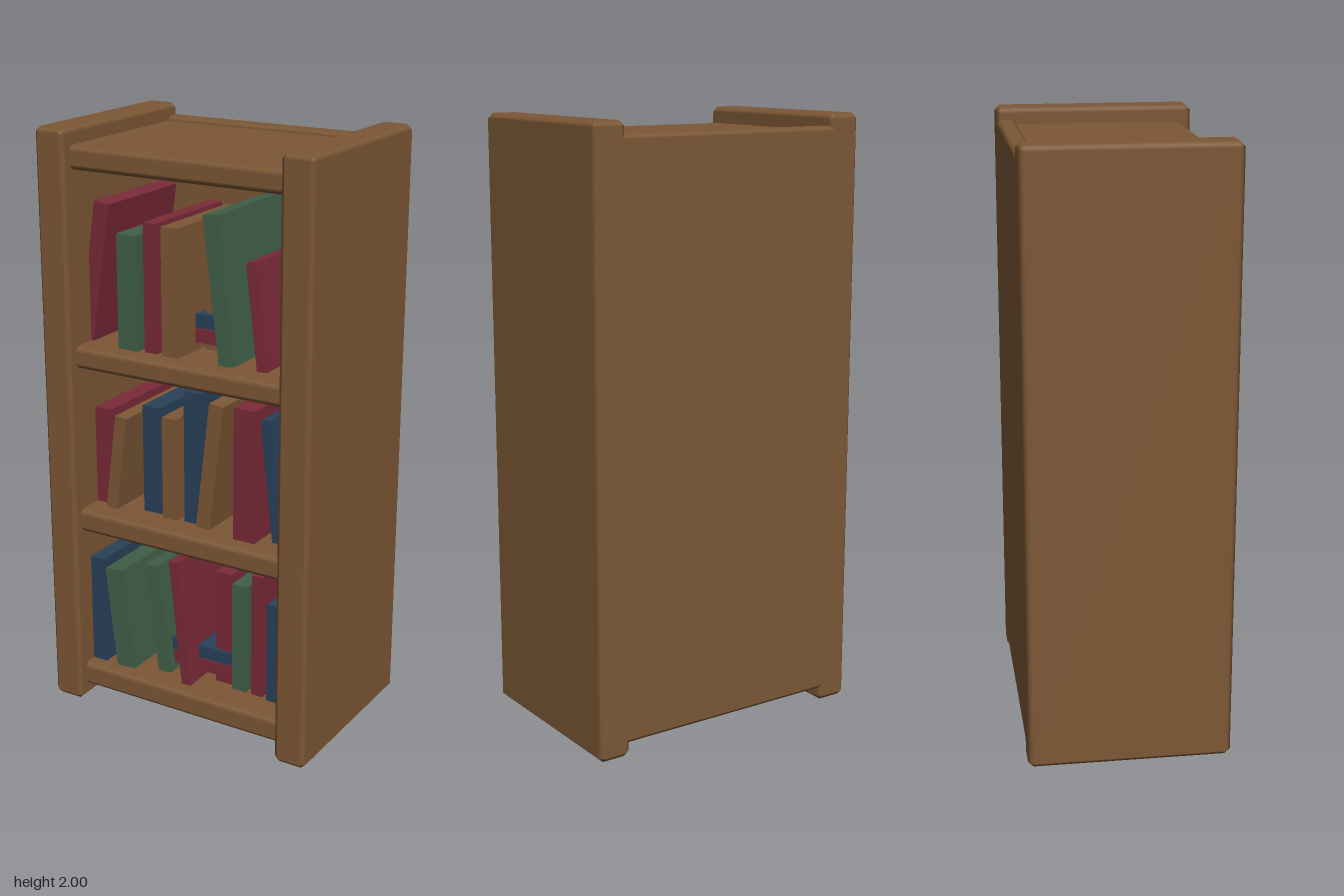
import * as THREE from 'three';

const material = (name, color) => {
  const m = new THREE.MeshStandardMaterial({ color });
  m.name = name;
  return m;
};

// Box with 45 degree chamfers and softened normals
function chamferBox(w, h, d, c) {
  const geo = new THREE.BoxGeometry(w, h, d, 3, 3, 3);
  const pos = geo.attributes.position, nor = geo.attributes.normal;
  const half = new THREE.Vector3(w, h, d).multiplyScalar(0.5);
  const p = new THREE.Vector3(), dir = new THREE.Vector3();
  for (let i = 0; i < pos.count; i++) {
    p.fromBufferAttribute(pos, i);
    for (const a of ['x', 'y', 'z']) {
      const s = Math.sign(p[a]);
      dir[a] = Math.abs(p[a]) > half[a] * 0.9 ? s : 0;
      p[a] = s * (half[a] - c);
    }
    const sum = Math.abs(dir.x) + Math.abs(dir.y) + Math.abs(dir.z);
    p.addScaledVector(dir, c / sum);
    dir.normalize();
    pos.setXYZ(i, p.x, p.y, p.z);
    nor.setXYZ(i, dir.x, dir.y, dir.z);
  }
  return geo;
}

export function createModel() {
  const model = new THREE.Group();
  model.name = 'bookcase';
  const wood = material('brown wood', 0x7c5735);
  const red = material('red cover', 0x7a2a38);
  const green = material('green cover', 0x405f48);
  const blue = material('blue cover', 0x28415a);

  const add = (name, geo, mat, x, y, z) => {
    const mesh = new THREE.Mesh(geo, mat);
    mesh.name = name;
    mesh.position.set(x, y, z);
    model.add(mesh);
    return mesh;
  };

  // Side panels
  for (const s of [1, -1]) {
    add(s > 0 ? 'leftSide' : 'rightSide', chamferBox(0.115, 2, 0.664, 0.018), wood, s * 0.4425, 1, 0);
  }

  // Back panel, its ends sunk into the sides
  add('backPanel', chamferBox(0.84, 1.915, 0.064, 0.015), wood, 0, 1.0025, -0.3);

  // Shelves and top board: [bottom, top]
  for (const [y0, y1] of [[0.05, 0.135], [0.635, 0.715], [1.215, 1.29], [1.868, 1.945]]) {
    add('shelf', chamferBox(0.82, y1 - y0, 0.59, 0.018), wood, 0, (y0 + y1) / 2, 0.007);
  }

  // Books: [colour, x at foot, thickness, height, lean to +x, front z]
  const rows = [
    [0.135, [
      [blue, -0.36, 0.06, 0.39, 0, 0.25],
      [green, -0.246, 0.075, 0.365, -0.115, 0.25],
      [green, -0.113, 0.052, 0.395, -0.12, 0.21],
      [red, 0, 0.036, 0.45, -0.105, 0.25],
      [red, 0.1, 0.06, 0.41, 0, 0.17],
      [green, 0.173, 0.055, 0.39, 0, 0.19],
      [red, 0.242, 0.043, 0.44, 0, 0.19],
      [blue, 0.302, 0.037, 0.355, 0, 0.2],
    ]],
    [0.715, [
      [red, -0.355, 0.07, 0.34, 0, 0.2],
      [wood, -0.305, 0.043, 0.335, 0.13, 0.23],
      [blue, -0.166, 0.068, 0.375, 0, 0.19],
      [wood, -0.085, 0.055, 0.355, 0, 0.21],
      [blue, -0.001, 0.063, 0.455, 0, 0.2],
      [wood, 0.05, 0.052, 0.44, 0.12, 0.22],
      [red, 0.218, 0.079, 0.45, 0, 0.24],
      [blue, 0.32, 0.038, 0.415, -0.115, 0.2],
    ]],
    [1.29, [
      [red, -0.402, 0.055, 0.47, 0.15, 0.21],
      [green, -0.218, 0.075, 0.38, 0, 0.24],
      [red, -0.136, 0.048, 0.425, 0, 0.23],
      [wood, -0.06, 0.06, 0.42, 0, 0.235],
      [wood, 0.03, 0.08, 0.355, 0, 0.1],
      [green, 0.147, 0.057, 0.48, -0.12, 0.23],
      [red, 0.27, 0.037, 0.345, -0.12, 0.22],
    ]],
  ];
  const depth = 0.4;
  for (const [y, books] of rows) {
    for (const [mat, x, w, h, lean, front] of books) {
      const geo = new THREE.BoxGeometry(w, h, depth).translate(0, h / 2, -depth / 2);
      add('book', geo, mat, x, y, front).rotation.z = -lean;
    }
  }

  // Books lying flat on the lower and upper shelves
  for (const [y, x, front] of [[0.135, 0.015, 0.18], [1.29, 0.008, 0.13]]) {
    add('flatBook', new THREE.BoxGeometry(0.235, 0.046, 0.33), red, x, y + 0.051, front - 0.165);
    add('flatBook', new THREE.BoxGeometry(0.235, 0.046, 0.3), blue, x, y + 0.1, front - 0.15);
  }
  return model;
}
